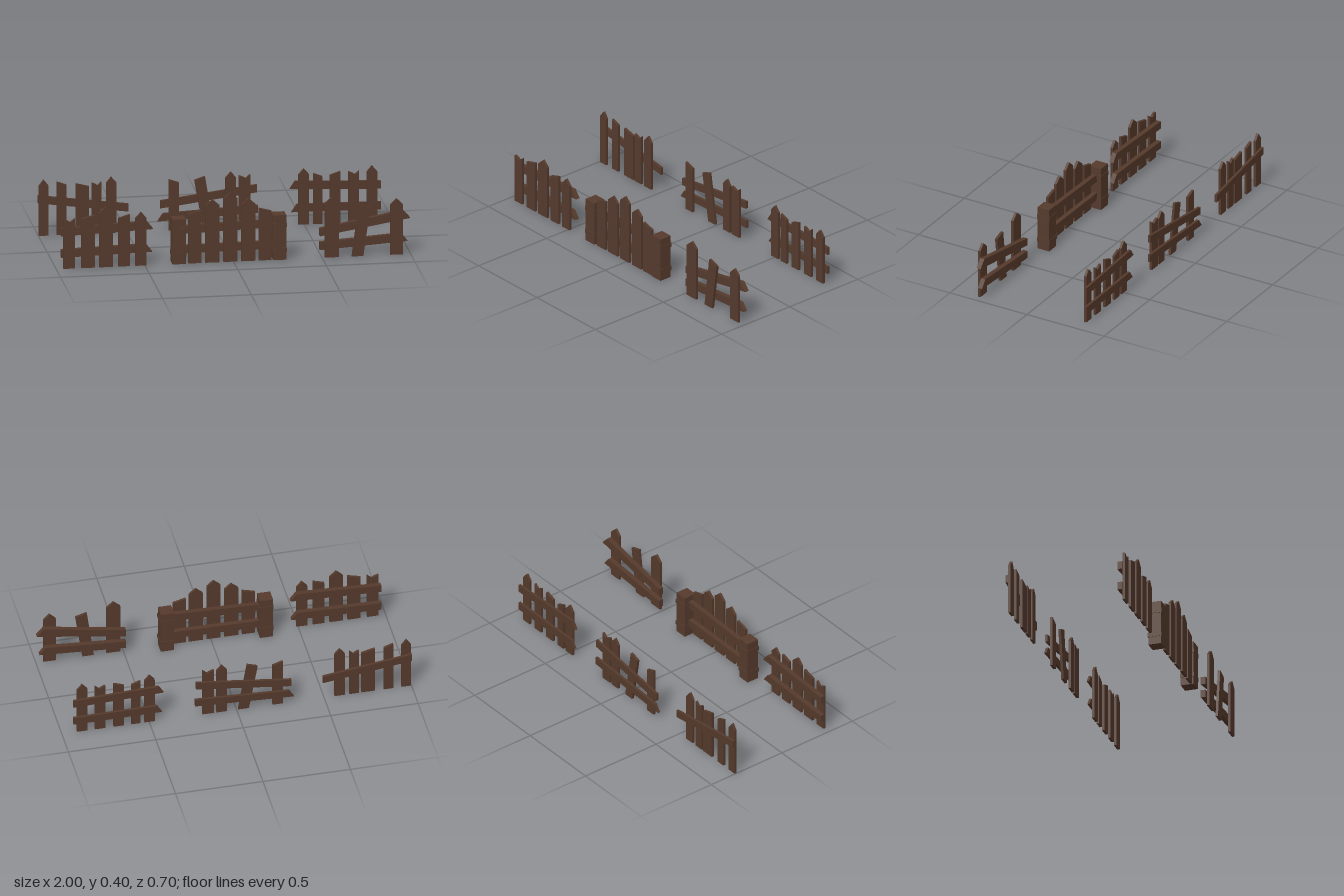
import * as THREE from 'three';

const wood = new THREE.MeshStandardMaterial({ color: 0x553a2c });
wood.name = 'dark brown wood';

// Plank top outlines: [fraction across the width, drop below the full height]
const TOPS = {
  peak: [[1, 0.035], [0.5, 0], [0, 0.035]],
  slantUp: [[1, 0], [0, 0.02]],
  slantDown: [[1, 0.02], [0, 0]],
  notch: [[1, 0], [0.6, 0.022], [0.35, 0.012], [0, 0.004]],
};

// Flat outline in x/y extruded from z0 to z1
function board(name, points, z0, z1) {
  const shape = new THREE.Shape(points.map(([x, y]) => new THREE.Vector2(x, y)));
  const geo = new THREE.ExtrudeGeometry(shape, { depth: z1 - z0, bevelEnabled: false });
  geo.translate(0, 0, z0);
  const mesh = new THREE.Mesh(geo, wood);
  mesh.name = name;
  return mesh;
}

// Upright plank; lean shifts the top sideways
function plank([x0, x1, height, top, lean = 0], z0, z1) {
  const outline = [[x0, 0], [x1, 0]];
  for (const [f, drop] of TOPS[top]) outline.push([x0 + (x1 - x0) * f + lean, height - drop]);
  return board('plank', outline, z0, z1);
}

// Sloping rail; cuts shorten its upper edge at either end
function rail([x0, y0, x1, y1, cut0 = 0, cut1 = 0], z0, z1) {
  const h = 0.045;
  return board('rail', [[x0, y0], [x1, y1], [x1 - cut1, y1 + h], [x0 + cut0, y0 + h]], z0, z1);
}

// Square gate post with two raised bands
function post(x) {
  const group = new THREE.Group();
  group.name = 'post';
  const block = (name, w, h, y) => {
    const mesh = new THREE.Mesh(new THREE.BoxGeometry(w, h, w), wood);
    mesh.name = name;
    mesh.position.set(x, y, 0.31);
    group.add(mesh);
  };
  block('postBody', 0.075, 0.26, 0.13);
  for (const y of [0.0575, 0.2025]) block('postBand', 0.081, 0.025, y);
  return group;
}

const FRONT = { rail: [0.3, 0.327], plank: [0.327, 0.342] };
const BACK = { rail: [-0.348, -0.333], plank: [-0.333, -0.318] };

const SECTIONS = [
  {
    name: 'frontRightFence', row: FRONT,
    planks: [
      [-0.96, -0.895, 0.29, 'notch'], [-0.858, -0.783, 0.305, 'slantUp'],
      [-0.757, -0.68, 0.35, 'peak'], [-0.65, -0.585, 0.3, 'slantUp'],
      [-0.553, -0.49, 0.31, 'peak'],
    ],
    rails: [[-0.97, 0.185, -0.45, 0.205, 0, 0.035], [-0.97, 0.06, -0.455, 0.073, 0, 0.035]],
  },
  {
    name: 'gateFence', row: FRONT, posts: [-0.307, 0.26],
    planks: [
      [-0.254, -0.18, 0.305, 'slantUp'], [-0.158, -0.078, 0.365, 'peak'],
      [-0.056, 0.022, 0.403, 'peak'], [0.045, 0.125, 0.363, 'peak'],
      [0.142, 0.215, 0.305, 'slantDown'],
    ],
    rails: [[-0.28, 0.17, 0.23, 0.185], [-0.28, 0.055, 0.23, 0.06]],
  },
  {
    name: 'frontLeftFence', row: FRONT,
    planks: [
      [0.516, 0.596, 0.35, 'peak'], [0.668, 0.733, 0.3, 'slantDown', 0.04],
      [0.885, 0.957, 0.325, 'peak'],
    ],
    rails: [[0.49, 0.12, 1, 0.205, 0, 0.04], [0.49, 0.04, 0.985, 0.072, 0, 0.035]],
  },
  {
    name: 'backRightFence', row: BACK,
    planks: [
      [-0.997, -0.944, 0.325, 'peak'], [-0.896, -0.842, 0.31, 'slantDown'],
      [-0.79, -0.714, 0.295, 'slantDown'], [-0.7, -0.645, 0.3, 'notch'],
      [-0.618, -0.56, 0.325, 'peak'],
    ],
    rails: [[-1, 0.185, -0.49, 0.115]],
  },
  {
    name: 'backMiddleFence', row: BACK,
    planks: [
      [-0.265, -0.206, 0.295, 'slantDown'], [-0.07, -0.01, 0.305, 'slantUp', -0.05],
      [0.056, 0.115, 0.325, 'peak'], [0.13, 0.195, 0.305, 'notch'],
    ],
    rails: [[-0.31, 0.125, 0.235, 0.195], [-0.325, 0.05, 0.24, 0.075, 0.03, 0]],
  },
  {
    name: 'backLeftFence', row: BACK,
    planks: [
      [0.468, 0.527, 0.325, 'peak'], [0.55, 0.602, 0.295, 'slantDown'],
      [0.644, 0.703, 0.3, 'slantUp'], [0.75, 0.81, 0.3, 'notch'],
      [0.853, 0.912, 0.325, 'peak'],
    ],
    rails: [[0.42, 0.205, 0.935, 0.185, 0.03, 0], [0.43, 0.07, 0.935, 0.065, 0.03, 0]],
  },
];

export function createModel() {
  const model = new THREE.Group();
  model.name = 'woodenFences';
  for (const s of SECTIONS) {
    const section = new THREE.Group();
    section.name = s.name;
    for (const p of s.planks) section.add(plank(p, ...s.row.plank));
    for (const r of s.rails) section.add(rail(r, ...s.row.rail));
    for (const x of s.posts ?? []) section.add(post(x));
    model.add(section);
  }
  return model;
}
